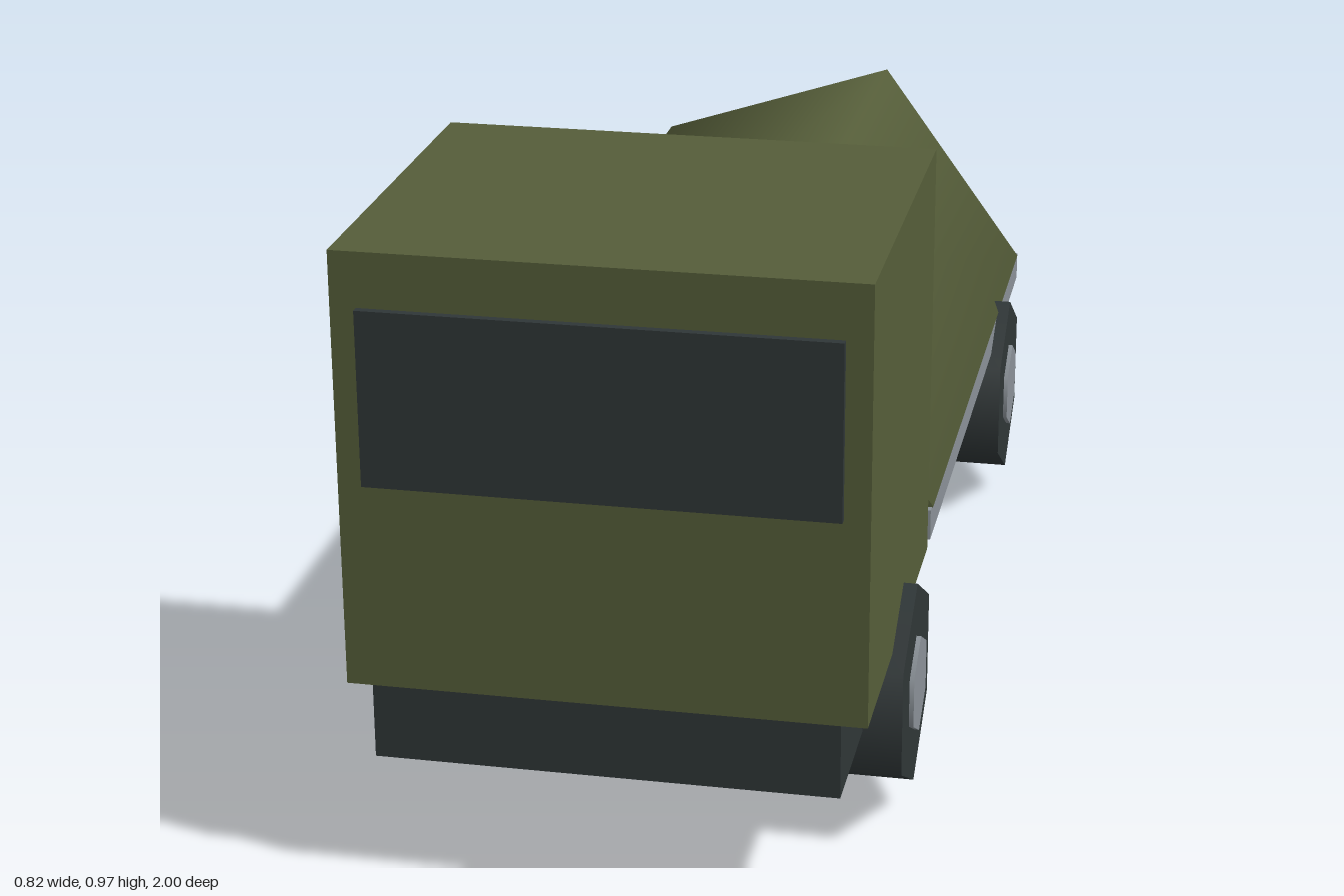
import * as THREE from 'three';

export function createModel() {
  const model = new THREE.Group();
  model.name = 'tankerTruck';

  const mat = (name, color) => {
    const m = new THREE.MeshStandardMaterial({ color });
    m.name = name;
    return m;
  };
  const olive = mat('olive paint', 0x555d39);
  const dark = mat('dark grey', 0x2f3637);
  const grey = mat('light grey', 0x8a9197);

  const add = (name, geometry, material, x, y, z, parent = model) => {
    const mesh = new THREE.Mesh(geometry, material);
    mesh.name = name;
    mesh.position.set(x, y, z);
    parent.add(mesh);
    return mesh;
  };

  // Box given by half width and its y and z ranges, centred on x = 0
  const slab = (name, material, halfX, y0, y1, z0, z1) =>
    add(name, new THREE.BoxGeometry(halfX * 2, y1 - y0, z1 - z0), material,
      0, (y0 + y1) / 2, (z0 + z1) / 2);

  slab('chassis', dark, 0.342, 0.2, 0.315, -1, 0.987);
  slab('cab', olive, 0.38, 0.315, 0.975, 0.36, 0.988);
  slab('windshield', dark, 0.342, 0.63, 0.893, 0.98, 1);
  slab('deck', grey, 0.38, 0.315, 0.365, -0.967, 0.325);

  // Smooth-shaded prism with a corner along its local +x
  const prism = (radius, length, sides) =>
    new THREE.CylinderGeometry(radius, radius, length, sides, 1, false, Math.PI / 2);

  // Five-sided tank lying along the chassis
  add('tank', prism(0.382, 1.26, 5).rotateX(Math.PI / 2), olive, 0, 0.366, -0.32);

  // Six-sided wheels, with hubs that stand out on both faces
  const tireGeometry = prism(0.165, 0.106, 6).rotateZ(Math.PI / 2);
  const hubGeometry = prism(0.079, 0.12, 6).rotateZ(Math.PI / 2);
  for (const [end, z] of [['front', 0.635], ['rear', -0.64]]) {
    for (const [side, s] of [['Left', 1], ['Right', -1]]) {
      const wheel = new THREE.Group();
      wheel.name = `${end}${side}Wheel`;
      wheel.position.set(s * 0.348, 0.215, z);
      add('tire', tireGeometry, dark, 0, 0, 0, wheel);
      add('hub', hubGeometry, grey, 0, 0, 0, wheel);
      model.add(wheel);
    }
  }
  return model;
}
